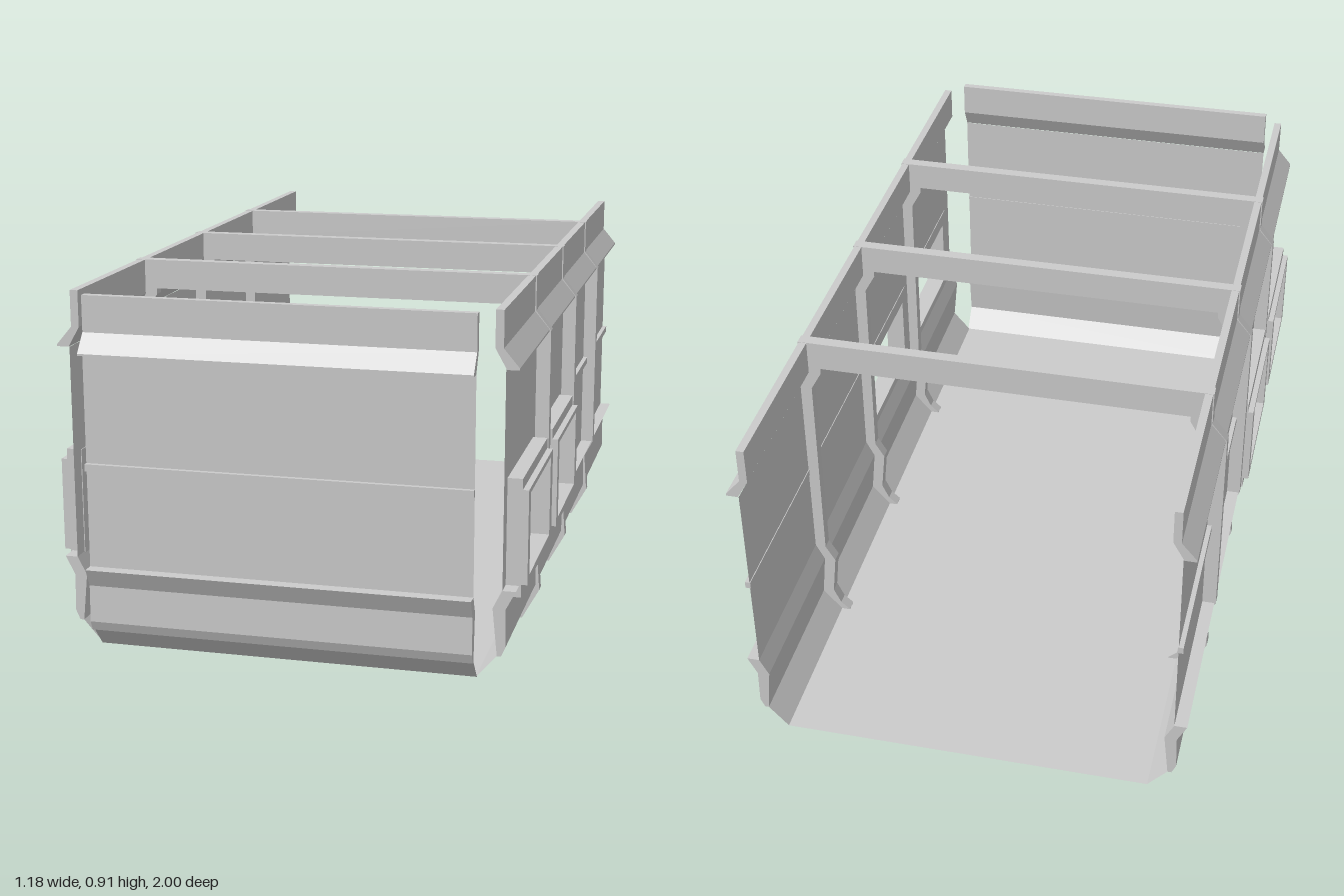
import * as THREE from 'three';

const grey = new THREE.MeshStandardMaterial({ color: 0xcccccc, flatShading: true });
const thin = new THREE.MeshStandardMaterial({ color: 0xcccccc, flatShading: true, side: THREE.DoubleSide });

const BACK = -1, FRONT = 0.905, FRONT_HALF = 0.478;

function add(parent, name, geometry, material = grey) {
  const mesh = new THREE.Mesh(geometry, material);
  mesh.name = name;
  parent.add(mesh);
  return mesh;
}

const toShape = (pts) => new THREE.Shape(pts.map(([x, y]) => new THREE.Vector2(x, y)));

// Profile in (outward, up), swept along z from s0 to s1
function sweep(pts, s0, s1) {
  const g = new THREE.ExtrudeGeometry(toShape(pts), { depth: s1 - s0, bevelEnabled: false });
  return g.translate(0, 0, s0);
}

const rect = (s0, s1, y0, y1) => [[s0, y0], [s1, y0], [s1, y1], [s0, y1]];

// Rectangle in (along z, up) with rectangular holes
function plate(outline, holes) {
  const shape = toShape(outline);
  holes.forEach((h) => shape.holes.push(toShape(h.slice().reverse())));
  return shape;
}

// Window frame layer lying between two outward distances
function frameLayer(outline, hole, x0, x1) {
  const g = new THREE.ExtrudeGeometry(plate(outline, [hole]), { depth: x1 - x0, bevelEnabled: false });
  return g.rotateY(-Math.PI / 2).translate(x1, 0, 0);
}

const topTrim = [[0.51, 0.91], [0.51, 0.82], [0.538, 0.77], [0.568, 0.77], [0.568, 0.775], [0.53, 0.82], [0.53, 0.91]];
const bottomTrim = [[0.536, 0.235], [0.513, 0.19], [0.525, 0.07], [0.535, 0.07], [0.546, 0.095], [0.544, 0.188], [0.568, 0.235]];
const rail = [[0.534, 0.48], [0.548, 0.48], [0.548, 0.498], [0.534, 0.498]];

const windows = [[0.51, 0.83], [0.038, 0.355]];

// One wall: thin sheet, chamfered foot, trims and rail
function wall(name, s0, s1, railEnd, openings) {
  const g = new THREE.Group();
  g.name = name;
  const holes = openings.map(([a, b]) => rect(a, b, 0.255, 0.46));
  const sheet = new THREE.ShapeGeometry(plate(rect(s0, s1, 0.235, 0.77), holes));
  add(g, 'wallSheet', sheet.rotateY(-Math.PI / 2).translate(0.536, 0, 0), thin);

  const rise = 0.057, run = 0.05;
  const foot = new THREE.PlaneGeometry(s1 - s0, Math.hypot(rise, run));
  foot.rotateY(Math.PI / 2).rotateZ(-Math.atan2(run, rise));
  add(g, 'chamferedFoot', foot.translate(0.5, 0.0415, (s0 + s1) / 2), thin);

  add(g, 'topTrim', sweep(topTrim, s0, s1));
  add(g, 'bottomTrim', sweep(bottomTrim, s0, s1));
  add(g, 'middleRail', sweep(rail, s0, railEnd));

  // Two-step frames around the openings
  openings.forEach(([a, b], i) => {
    const outer = rect(a - 0.035, b + 0.03, 0.206, 0.5);
    const inner = rect(a - 0.035, b + 0.03, 0.238, 0.473);
    add(g, 'windowFrameBase' + (i + 1), frameLayer(outer, holes[i], 0.534, 0.573));
    add(g, 'windowFrameRim' + (i + 1), frameLayer(inner, holes[i], 0.572, 0.588));
  });
  return g;
}

// Rib outline: outside going down, then inside going up to the cross beam
const ribHalf = [
  [0.533, 0.911], [0.533, 0.821], [0.572, 0.772], [0.572, 0.235], [0.548, 0.188], [0.556, 0.08], [0.512, 0],
  [0.452, 0], [0.452, 0.014], [0.476, 0.036], [0.495, 0.078], [0.483, 0.19], [0.508, 0.233], [0.506, 0.77],
  [0.478, 0.82], [0.478, 0.835],
];

export function createModel() {
  const model = new THREE.Group();
  model.name = 'wagonBody';

  // Floor
  const floor = new THREE.PlaneGeometry(0.95, FRONT - BACK).rotateX(-Math.PI / 2);
  add(model, 'floor', floor.translate(0, 0.013, (FRONT + BACK) / 2), thin);

  // Side walls, mirrored
  for (const side of [1, -1]) {
    const w = wall(side > 0 ? 'leftWall' : 'rightWall', BACK, FRONT, -0.045, windows);
    w.scale.x = side;
    model.add(w);
  }

  // Front wall shares the same profile
  const front = wall('frontWall', -FRONT_HALF, FRONT_HALF, FRONT_HALF, []);
  front.rotation.y = -Math.PI / 2;
  front.position.z = 0.43;
  model.add(front);

  // Ribs with cross beams
  const outline = [...ribHalf, ...ribHalf.map(([x, y]) => [-x, y]).reverse()];
  [0.43, -0.047, -0.523].forEach((z, i) => {
    add(model, 'ribFrame' + (i + 1), sweep(outline, z - 0.015, z + 0.015));
  });

  return model;
}
